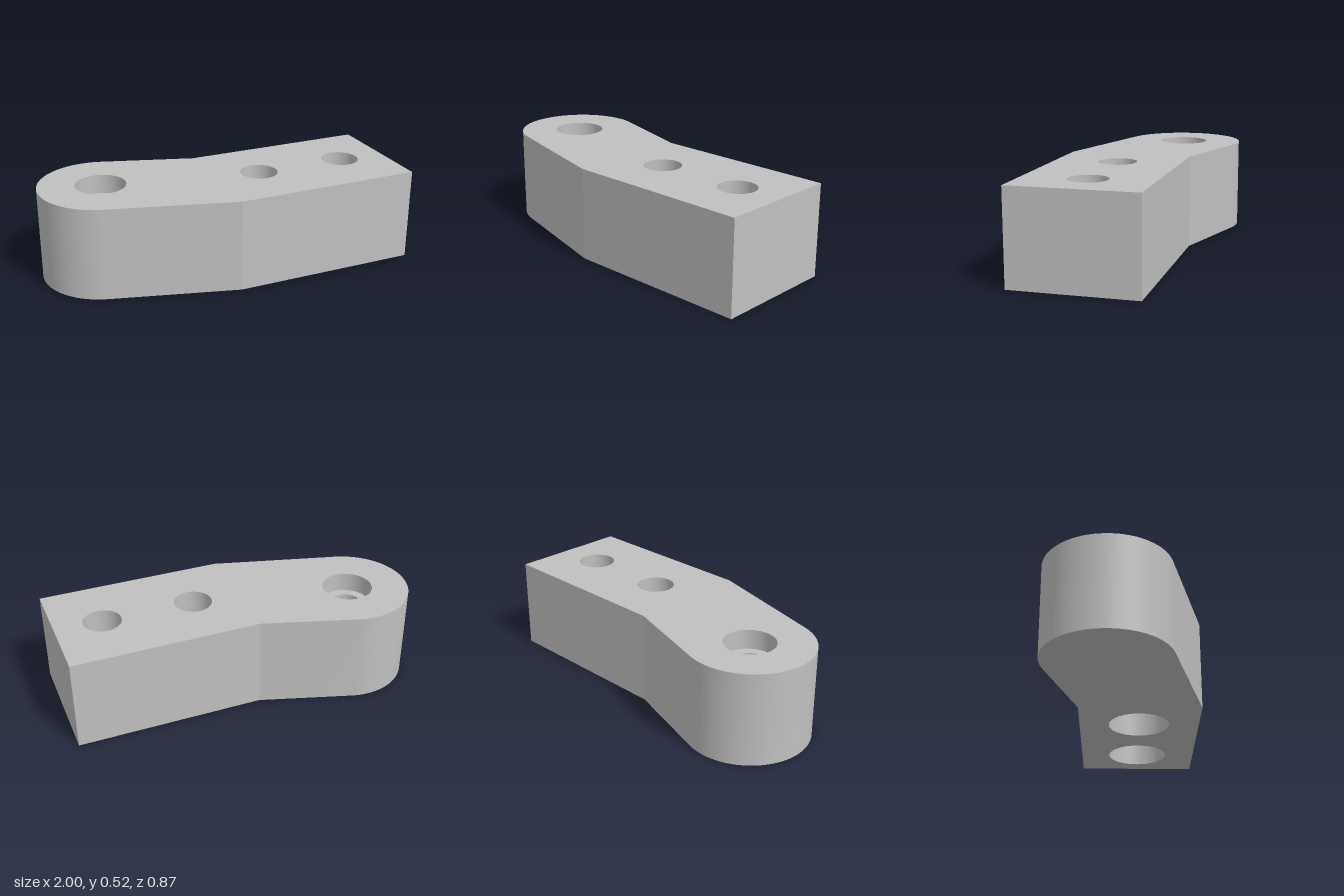
import * as THREE from 'three';
import { toCreasedNormals } from 'three/addons/utils/BufferGeometryUtils.js';

const H = 0.52, DIV = 32, CREASE = 0.15;
const END = { x: -0.655, z: -0.09, r: 0.345 };            // rounded end
const BOLTS = [{ x: 0.215, z: 0.085 }, { x: 0.735, z: 0.085 }];
const BOLT_R = 0.105, BORE_R = 0.175, BORE_TOP = 0.3;     // counterbored from below
const PIN_R = 0.14, PIN_INNER = 0.09, PIN_LEDGE = 0.41, PIN_FLOOR = 0.15;

// Plan outline, counter-clockwise, with shape y = -z
function outline(holes = []) {
  const s = new THREE.Shape();
  s.moveTo(-0.045, -0.433);
  s.lineTo(1, -0.433);
  s.lineTo(1, 0.26);
  s.lineTo(-0.045, 0.26);
  s.absarc(END.x, -END.z, END.r, THREE.MathUtils.degToRad(72.6), THREE.MathUtils.degToRad(255), false);
  s.closePath();
  for (const { x, z, r } of holes) {
    const p = new THREE.Path();
    p.absarc(x, -z, r, 0, Math.PI * 2, true);
    s.holes.push(p);
  }
  return s;
}

// Flat face at height y, facing up or down
function face(holes, y, down) {
  const g = new THREE.ShapeGeometry(outline(holes), DIV);
  g.rotateX(-Math.PI / 2).translate(0, y, 0);
  if (down) {
    g.setIndex(Array.from(g.index.array).reverse());
    g.computeVertexNormals();
  }
  return g;
}

// Upright wall that follows the outline
function wall() {
  const pts = outline().getPoints(DIV);
  const pos = [];
  for (let i = 0; i < pts.length; i++) {
    const a = pts[i], b = pts[(i + 1) % pts.length];
    if (a.distanceTo(b) < 1e-5) continue;
    const a0 = [a.x, 0, -a.y], b0 = [b.x, 0, -b.y];
    const a1 = [a.x, H, -a.y], b1 = [b.x, H, -b.y];
    pos.push(...a0, ...b0, ...b1, ...a0, ...b1, ...a1);
  }
  const g = new THREE.BufferGeometry();
  g.setAttribute('position', new THREE.Float32BufferAttribute(pos, 3));
  g.computeVertexNormals();
  return toCreasedNormals(g, CREASE);
}

// Inside of a stepped hole; the profile runs from top to bottom
function bore(profile) {
  const pts = profile.map(([r, y]) => new THREE.Vector2(r, y));
  return toCreasedNormals(new THREE.LatheGeometry(pts, DIV * 2), CREASE);
}

export function createModel() {
  const group = new THREE.Group();
  group.name = 'offsetArm';
  const grey = new THREE.MeshStandardMaterial({ color: 0xc0c0c0 });
  grey.name = 'grey';

  const add = (name, geometry, x = 0, z = 0) => {
    const mesh = new THREE.Mesh(geometry, grey);
    mesh.name = name;
    mesh.position.set(x, 0, z);
    group.add(mesh);
  };

  // Body shell
  const bolts = r => BOLTS.map(b => ({ ...b, r }));
  add('topFace', face([...bolts(BOLT_R), { ...END, r: PIN_R }], H, false));
  add('bottomFace', face(bolts(BORE_R), 0, true));
  add('sideWall', wall());

  // Through holes, wider at the bottom
  BOLTS.forEach((b, i) => add('boltHole' + (i + 1), bore([
    [BOLT_R, H], [BOLT_R, BORE_TOP], [BORE_R, BORE_TOP], [BORE_R, 0],
  ]), b.x, b.z));

  // Blind stepped hole in the rounded end
  add('pinHole', bore([
    [PIN_R, H], [PIN_R, PIN_LEDGE], [PIN_INNER, PIN_LEDGE], [PIN_INNER, PIN_FLOOR], [0, PIN_FLOOR],
  ]), END.x, END.z);

  return group;
}
